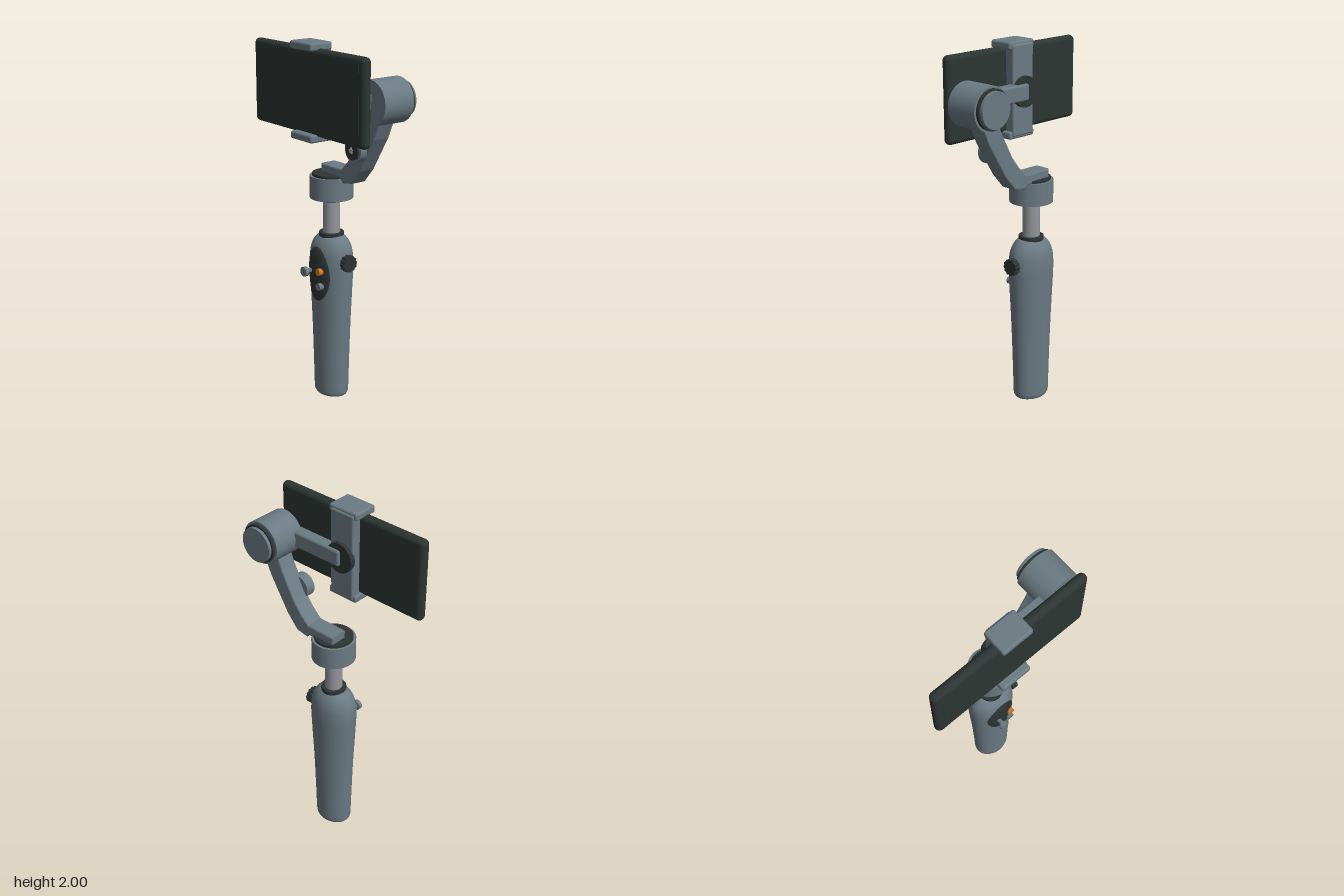
import * as THREE from 'three';
import { RoundedBoxGeometry } from 'three/addons/geometries/RoundedBoxGeometry.js';

const mat = (name, color) => Object.assign(new THREE.MeshStandardMaterial({ color }), { name });

export function createModel() {
  const root = new THREE.Group();
  root.name = 'phoneStabiliser';
  const grey = mat('slate grey', 0x6b7a83);
  const dark = mat('charcoal', 0x2c3533);
  const silver = mat('silver', 0x92959c);
  const orange = mat('orange', 0xd07a1e);

  const CX = -0.026, CZ = -0.03; // axis of the grip

  const add = (name, geo, material, x = 0, y = 0, z = 0) => {
    const m = new THREE.Mesh(geo, material);
    m.name = name;
    m.position.set(x, y, z);
    root.add(m);
    return m;
  };
  const box = (name, material, x0, x1, y0, y1, z0, z1, r) =>
    add(name, new RoundedBoxGeometry(x1 - x0, y1 - y0, z1 - z0, 4, r), material,
      (x0 + x1) / 2, (y0 + y1) / 2, (z0 + z1) / 2);
  // Upright cylinder between two heights
  const post = (name, material, r, y0, y1) =>
    add(name, new THREE.CylinderGeometry(r, r, y1 - y0, 48), material, CX, (y0 + y1) / 2, CZ);
  // Cylinder along z between two depths
  const disc = (name, material, r, x, y, z0, z1, seg = 40) =>
    add(name, new THREE.CylinderGeometry(r, r, z1 - z0, seg).rotateX(Math.PI / 2), material, x, y, (z0 + z1) / 2);

  // Grip: oval lathe
  const side = [[0.108, 0.03], [0.114, 0.25], [0.121, 0.45], [0.13, 0.63], [0.136, 0.76],
    [0.135, 0.81], [0.129, 0.86], [0.113, 0.9], [0.088, 0.93], [0.068, 0.94]];
  const curve = new THREE.SplineCurve(side.map(p => new THREE.Vector2(...p))).getPoints(40);
  const base = [[0, 0.02], [0.03, 0.02], [0.038, 0], [0.088, 0], [0.098, 0.004], [0.105, 0.014]]
    .map(p => new THREE.Vector2(...p));
  const grip = new THREE.LatheGeometry([...base, ...curve, new THREE.Vector2(0, 0.94)], 56);
  grip.scale(1, 1, 0.8);
  add('grip', grip, grey, CX, 0, CZ);
  const gripFront = (dx, y) => {
    let i = 1;
    while (i < curve.length - 1 && curve[i].y < y) i++;
    const a = curve[i - 1], b = curve[i];
    const r = a.x + (b.x - a.x) * (y - a.y) / (b.y - a.y);
    return CZ + 0.8 * Math.sqrt(Math.max(r * r - dx * dx, 0));
  };

  // Control panel: oval dome that follows the grip surface
  const panel = new THREE.SphereGeometry(1, 40, 16, 0, Math.PI * 2, 0, Math.PI / 2).rotateX(Math.PI / 2);
  const pos = panel.attributes.position;
  for (let i = 0; i < pos.count; i++) {
    const dx = pos.getX(i) * 0.09, y = 0.73 + pos.getY(i) * 0.155;
    pos.setXYZ(i, CX + dx, y, gripFront(dx, y) - 0.003 + 0.013 * Math.sqrt(Math.max(pos.getZ(i), 0)));
  }
  panel.computeVertexNormals();
  add('controlPanel', panel, dark);
  const rocker = add('panelRocker', new THREE.SphereGeometry(1, 24, 12), dark, -0.035, 0.845, 0.066);
  rocker.scale.set(0.045, 0.02, 0.016);

  // Joystick and buttons
  disc('joystickStem', grey, 0.012, -0.061, 0.745, 0.06, 0.12, 20);
  disc('joystickHead', grey, 0.027, -0.061, 0.745, 0.115, 0.137, 28);
  disc('recordButton', orange, 0.02, 0.018, 0.755, 0.06, 0.1, 28);
  disc('modeButton', grey, 0.02, 0.018, 0.67, 0.06, 0.098, 28);

  // Ribbed side wheel
  const wheel = new THREE.Shape();
  for (let i = 0; i < 48; i++) {
    const a = i / 48 * Math.PI * 2, r = i % 4 < 2 ? 0.047 : 0.042;
    wheel[i ? 'lineTo' : 'moveTo'](r * Math.cos(a), r * Math.sin(a));
  }
  add('sideWheel', new THREE.ExtrudeGeometry(wheel, { depth: 0.034, bevelEnabled: false })
    .rotateY(Math.PI / 2), dark, 0.106, 0.808, CZ);
  add('sideWheelAxle', new THREE.CylinderGeometry(0.03, 0.03, 0.05, 24).rotateZ(Math.PI / 2),
    dark, 0.09, 0.808, CZ);

  // Neck and pan motor
  post('lowerCollar', dark, 0.068, 0.93, 0.955);
  post('neckPole', silver, 0.047, 0.94, 1.145);
  post('upperCollar', dark, 0.062, 1.132, 1.155);
  post('panMotor', grey, 0.118, 1.15, 1.273);
  post('panMotorCap', dark, 0.104, 1.27, 1.287);

  // Bent arm from the pan motor up to the roll motor
  const b = 0.008;
  const bent = new THREE.Shape([
    [-0.077, 1.278], [0.085, 1.278], [0.1, 1.262], [0.165, 1.273], [0.232, 1.35],
    [0.345, 1.535], [0.4, 1.66], [0.31, 1.68], [0.275, 1.59], [0.195, 1.44],
    [0.145, 1.375], [0.09, 1.322], [-0.077, 1.322]].map(p => new THREE.Vector2(...p)));
  add('bentArm', new THREE.ExtrudeGeometry(bent, {
    depth: 0.1 - 2 * b, bevelSize: b, bevelThickness: b, bevelSegments: 2 }), grey, 0, 0, -0.105 + b);

  // Locking knob on the bent arm
  disc('lockKnob', grey, 0.065, 0.235, 1.465, -0.02, 0.035);
  disc('lockKnobFace', dark, 0.05, 0.235, 1.465, 0.03, 0.045);
  const star = new THREE.Shape();
  for (let i = 0; i < 10; i++) {
    const a = Math.PI / 2 + i * Math.PI / 5, r = i % 2 ? 0.009 : 0.018;
    star[i ? 'lineTo' : 'moveTo'](r * Math.cos(a), r * Math.sin(a));
  }
  add('lockKnobScrew', new THREE.ExtrudeGeometry(star, { depth: 0.009, bevelEnabled: false }),
    silver, 0.235, 1.465, 0.044);

  // Roll motor with rear cap
  disc('rollMotor', grey, 0.117, 0.375, 1.73, -0.145, 0.042, 56);
  disc('rollMotorRing', dark, 0.105, 0.375, 1.73, -0.162, -0.14, 56);
  disc('rollMotorCap', grey, 0.095, 0.375, 1.73, -0.18, -0.155, 56);

  // Cross arm to the clamp
  box('crossArm', grey, -0.035, 0.385, 1.69, 1.78, -0.01, 0.06, 0.012);
  disc('clampPivot', dark, 0.083, CX, 1.735, 0.005, 0.035);

  // Phone clamp
  box('clampBack', grey, CX - 0.075, CX + 0.075, 1.5, 1.985, 0.027, 0.085, 0.01);
  box('upperJaw', grey, -0.116, 0.067, 1.958, 2.0, 0.035, 0.176, 0.012);
  box('lowerJaw', grey, -0.116, 0.067, 1.486, 1.528, 0.035, 0.176, 0.012);

  // Phone
  box('phoneBody', dark, -0.495, 0.447, 1.515, 1.97, 0.085, 0.14, 0.026);
  add('phoneScreen', new THREE.BoxGeometry(0.86, 0.395, 0.006), dark, -0.024, 1.743, 0.139);

  return root;
}
